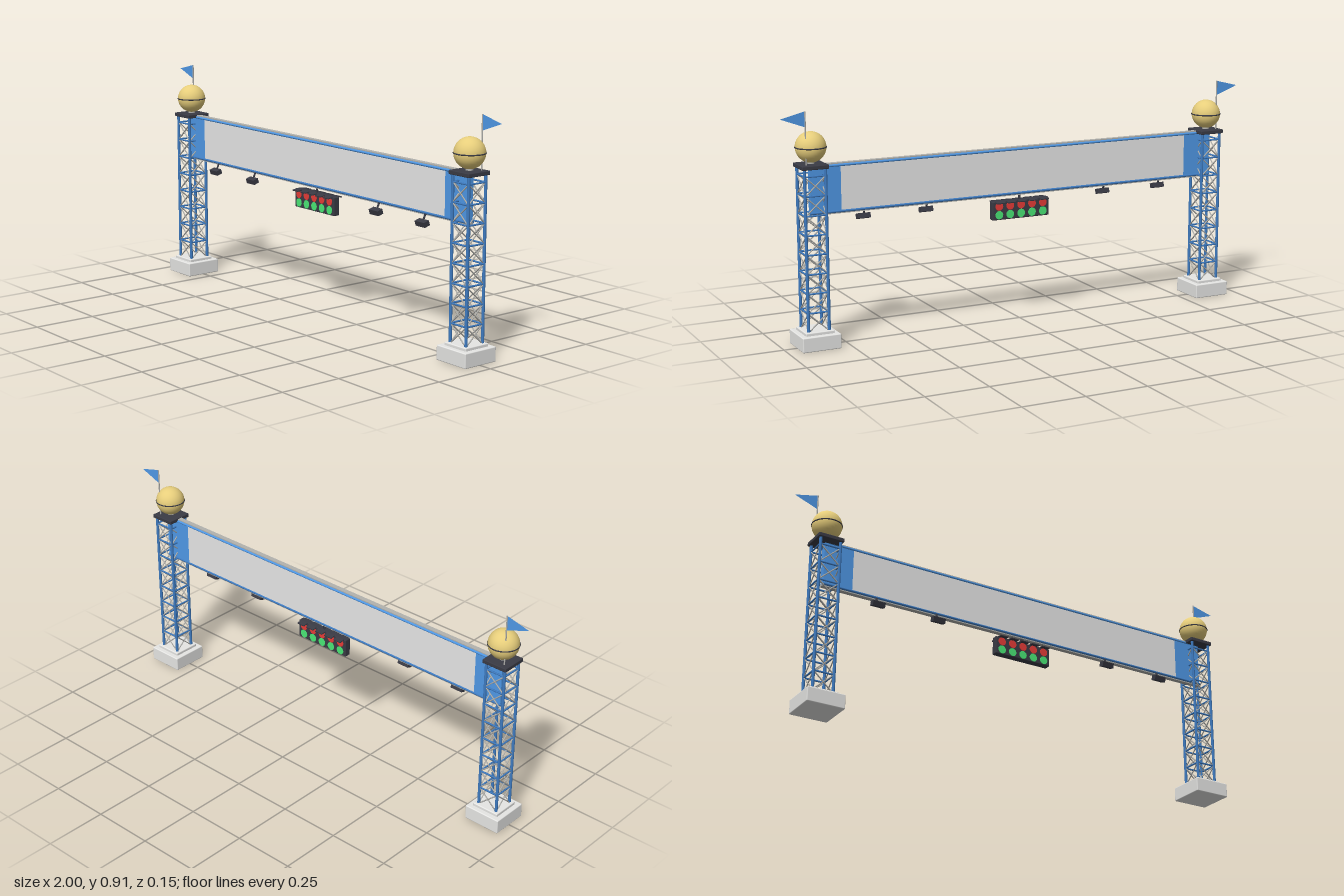
import * as THREE from 'three';
import { RoundedBoxGeometry } from 'three/addons/geometries/RoundedBoxGeometry.js';

const mat = (name, color) => {
  const m = new THREE.MeshStandardMaterial({ color });
  m.name = name;
  return m;
};

export function createModel() {
  const root = new THREE.Group();
  root.name = 'startGantry';
  const concrete = mat('concrete', 0xe6e6e4);
  const panelGrey = mat('panelGrey', 0xe7e7e7);
  const blue = mat('panelBlue', 0x4f98e6);
  const frame = mat('frameBlue', 0x3f7cc2);
  const steel = mat('steel', 0xb2b2ae);
  const dark = mat('darkMetal', 0x3a3b45);
  const gold = mat('gold', 0xe8cf7c);
  const red = mat('redLamp', 0xe63c38);
  const green = mat('greenLamp', 0x4cee7a);
  const flagBlue = mat('flagBlue', 0x4f98e6);
  flagBlue.side = THREE.DoubleSide;

  const add = (parent, name, geo, material, x = 0, y = 0, z = 0) => {
    const m = new THREE.Mesh(geo, material);
    m.name = name;
    m.position.set(x, y, z);
    parent.add(m);
    return m;
  };
  const box = (parent, name, material, w, h, d, x, y, z) =>
    add(parent, name, new THREE.BoxGeometry(w, h, d), material, x, y, z);
  // Round bar between two points
  const up = new THREE.Vector3(0, 1, 0);
  const bar = (parent, name, material, a, b, r, sides = 6) => {
    const p = new THREE.Vector3(...a), q = new THREE.Vector3(...b);
    const d = q.clone().sub(p);
    const m = add(parent, name, new THREE.CylinderGeometry(r, r, d.length(), sides), material);
    m.position.copy(p).add(q).multiplyScalar(0.5);
    m.quaternion.setFromUnitVectors(up, d.normalize());
    return m;
  };

  // Lattice tower with footing, cap, ball and flag
  const tower = (side) => {
    const g = new THREE.Group();
    g.name = side > 0 ? 'leftTower' : 'rightTower';
    g.position.x = side * 0.873;
    root.add(g);
    add(g, 'footing', new RoundedBoxGeometry(0.154, 0.058, 0.154, 2, 0.004), concrete, 0, 0.029, 0);
    add(g, 'plinth', new RoundedBoxGeometry(0.115, 0.016, 0.115, 2, 0.004), concrete, 0, 0.062, 0);

    const h = 0.0415, y0 = 0.0665, bay = 0.0749;
    for (const x of [-h, h]) for (const z of [-h, h])
      bar(g, 'leg', frame, [x, 0.065, z], [x, 0.695, z], 0.006, 10);
    for (let f = 0; f < 4; f++) {
      const face = new THREE.Group();
      face.name = 'latticeFace';
      face.rotation.y = f * Math.PI / 2;
      g.add(face);
      for (let i = 0; i < 8; i++) {
        const a = y0 + i * bay, b = a + bay;
        bar(face, 'rung', frame, [-h, b, h], [h, b, h], 0.0036);
        bar(face, 'brace', steel, [-h, a, h], [h, b, h], 0.0026);
        bar(face, 'brace', steel, [h, a, h], [-h, b, h], 0.0026);
      }
    }

    add(g, 'cap', new RoundedBoxGeometry(0.106, 0.016, 0.106, 2, 0.003), dark, 0, 0.7, 0);
    add(g, 'neck', new THREE.CylinderGeometry(0.014, 0.014, 0.012, 20), steel, 0, 0.711, 0);
    add(g, 'ball', new THREE.SphereGeometry(0.059, 32, 20), gold, 0, 0.771, 0);
    add(g, 'ballBand', new THREE.TorusGeometry(0.0585, 0.0026, 8, 40), dark, 0, 0.771, 0)
      .rotation.x = Math.PI / 2;

    const px = side * 0.03, pz = -0.031;
    bar(g, 'flagPole', steel, [px, 0.705, pz], [px, 0.911, pz], 0.0027, 8);
    const pennant = new THREE.Shape();
    pennant.moveTo(0, 0.851);
    pennant.lineTo(side * 0.097, 0.887);
    pennant.lineTo(0, 0.911);
    add(g, 'flag', new THREE.ShapeGeometry(pennant), flagBlue, px, 0, pz);
  };
  tower(1);
  tower(-1);

  // Cross beam: panel, coloured ends, steel chords and blue edging
  const beam = new THREE.Group();
  beam.name = 'crossBeam';
  root.add(beam);
  box(beam, 'bannerPanel', panelGrey, 1.52, 0.174, 0.024, 0, 0.605, 0);
  for (const s of [-1, 1])
    box(beam, 'bannerEnd', blue, 0.122, 0.174, 0.024, s * 0.821, 0.605, 0);
  box(beam, 'topChord', steel, 1.74, 0.01, 0.02, 0, 0.699, 0);
  box(beam, 'bottomChord', steel, 1.77, 0.01, 0.02, 0, 0.514, 0);
  for (const z of [-0.0105, 0.0105]) {
    bar(beam, 'topEdge', blue, [-0.87, 0.695, z], [0.87, 0.695, z], 0.005, 10);
    bar(beam, 'bottomEdge', frame, [-0.885, 0.518, z], [0.885, 0.518, z], 0.005, 10);
  }

  // Floodlights below the beam, facing forward
  for (const x of [-0.657, -0.395, 0.395, 0.657]) {
    const g = new THREE.Group();
    g.name = 'floodlight';
    g.position.set(x, 0, 0);
    root.add(g);
    bar(g, 'bracket', dark, [0, 0.515, 0.012], [0, 0.486, 0.026], 0.004);
    box(g, 'housing', dark, 0.052, 0.02, 0.025, 0, 0.482, 0.028).rotation.x = 0.3;
  }

  // Signal board with lamps on both faces
  const signal = new THREE.Group();
  signal.name = 'signalBoard';
  root.add(signal);
  add(signal, 'board', new RoundedBoxGeometry(0.25, 0.075, 0.028, 2, 0.004), dark, 0, 0.453, 0);
  bar(signal, 'hanger', dark, [0, 0.488, 0], [0, 0.515, 0], 0.005);
  const disc = new THREE.CylinderGeometry(0.0168, 0.0168, 0.005, 24).rotateX(Math.PI / 2);
  for (const s of [-1, 1]) for (let i = -2; i <= 2; i++) {
    const x = i * 0.0485;
    add(signal, 'redLamp', disc, red, x, 0.471, s * 0.0135);
    add(signal, 'greenLamp', disc, green, x, 0.436, s * 0.0135);
    box(signal, 'visor', dark, 0.036, 0.004, 0.022, x, 0.488, s * 0.024).rotation.x = s * 0.15;
  }
  return root;
}
